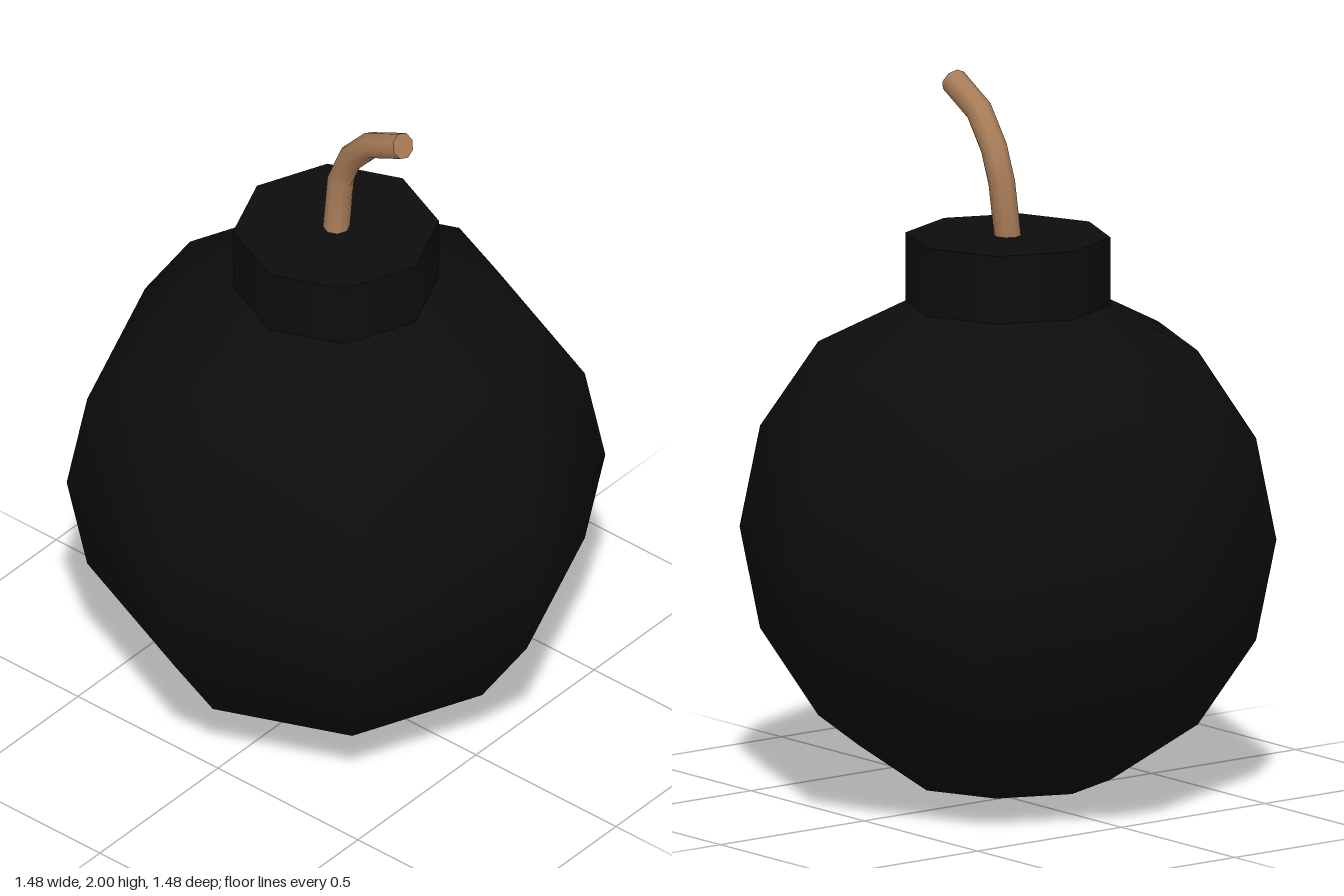
import * as THREE from 'three';

const SIDES = 8;

export function createModel() {
  const model = new THREE.Group();
  const black = new THREE.MeshStandardMaterial({ color: 0x0d0d0d });
  const rope = new THREE.MeshStandardMaterial({ color: 0xa87c58, side: THREE.DoubleSide });

  const add = (name, geometry, material, parent = model) => {
    const mesh = new THREE.Mesh(geometry, material);
    mesh.name = name;
    parent.add(mesh);
    return mesh;
  };

  // Ball: eight-sided sphere, cut open under the neck
  const R = 0.738, centre = 0.743;
  const profile = [];
  for (let i = 0; i < SIDES - 1; i++) {
    const a = (i / SIDES) * Math.PI;
    profile.push(new THREE.Vector2(R * Math.sin(a), centre - R * Math.cos(a)));
  }
  const neckRadius = R * Math.sin(Math.PI / SIDES), neckBase = 1.385, neckTop = 1.575;
  profile.push(new THREE.Vector2(neckRadius, neckBase));
  add('body', new THREE.LatheGeometry(profile, SIDES), black);

  // Neck: short straight collar with a flat top
  const neck = new THREE.CylinderGeometry(neckRadius, neckRadius, neckTop - neckBase, SIDES);
  add('neck', neck, black).position.y = (neckTop + neckBase) / 2;

  // Fuse: bent cord with one ring at each bend
  const fuse = new THREE.Group();
  fuse.name = 'fuse';
  model.add(fuse);
  const path = new THREE.CatmullRomCurve3([
    new THREE.Vector3(0, 1.56, 0),
    new THREE.Vector3(-0.003, 1.725, -0.024),
    new THREE.Vector3(0.035, 1.815, -0.021),
    new THREE.Vector3(0.115, 1.905, -0.01),
    new THREE.Vector3(0.238, 1.967, -0.002),
  ]);
  path.getPointAt = (u, target) => path.getPoint(u, target);
  path.getTangentAt = (u, target) => path.getTangent(u, target);
  const bends = path.points.length - 1;
  const cord = new THREE.TubeGeometry(path, bends, 0.037, SIDES);
  add('fuseCord', cord, rope, fuse);

  // Flat cut end, sharing the last ring of the cord
  const cap = new THREE.CircleGeometry(1, SIDES);
  const point = new THREE.Vector3();
  cap.attributes.position.setXYZ(0, ...path.points[bends].toArray());
  for (let i = 0; i <= SIDES; i++) {
    point.fromBufferAttribute(cord.attributes.position, bends * (SIDES + 1) + SIDES - i);
    cap.attributes.position.setXYZ(i + 1, point.x, point.y, point.z);
  }
  cap.computeVertexNormals();
  add('fuseTip', cap, rope, fuse);

  return model;
}
